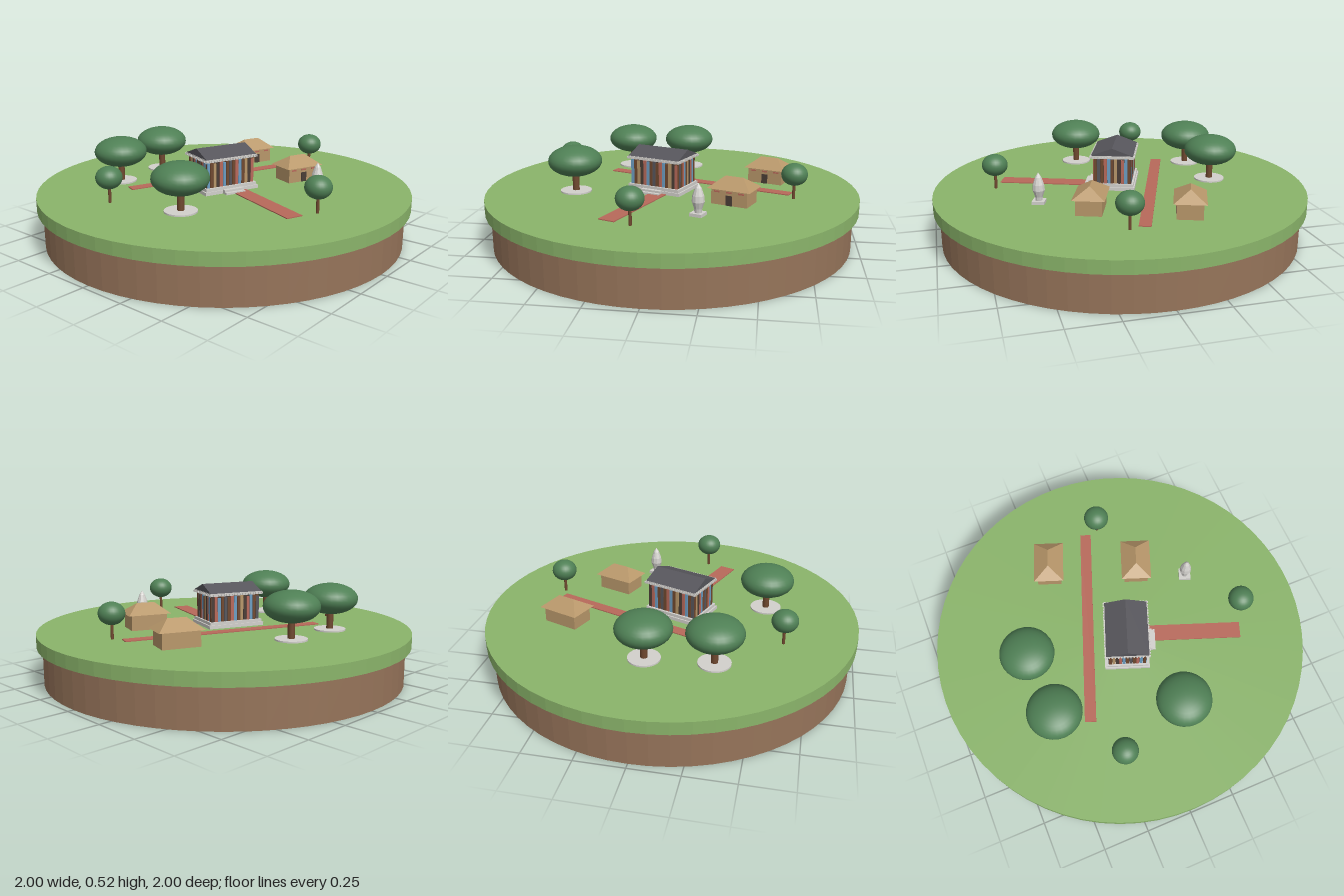
import * as THREE from 'three';
import { ConvexGeometry } from 'three/addons/geometries/ConvexGeometry.js';

const GROUND = 0.267;
const TURN = -0.35; // the streets and buildings share one heading

const palette = {
  earth: 0x96745a, grass: 0x8ab46a, brick: 0xb8695a, foliage: 0x4f8055, bark: 0x70482f,
  sandstone: 0xb8976a, stone: 0xd2d0cc, slate: 0x57565c, blue: 0x6c9dc2, shadowBrown: 0x4a3d36,
};
const mats = {};

function mesh(name, geometry, color, x = 0, y = 0, z = 0) {
  const m = new THREE.Mesh(geometry, mats[color]);
  m.name = name;
  m.position.set(x, y, z);
  return m;
}

const box = (name, color, w, h, d, x, bottom, z) =>
  mesh(name, new THREE.BoxGeometry(w, h, d), color, x, bottom + h / 2, z);

const cylinder = (name, color, r, h, sides, bottom) =>
  mesh(name, new THREE.CylinderGeometry(r, r, h, sides), color, 0, bottom + h / 2, 0);

function faceted(geometry) {
  const g = geometry.toNonIndexed();
  g.computeVertexNormals();
  return g;
}

function place(name, x, z, turn = TURN) {
  const g = new THREE.Group();
  g.name = name;
  g.position.set(x, GROUND, z);
  g.rotation.y = turn;
  return g;
}

// Round island: an earth drum under a wider slab of turf
function island() {
  const g = new THREE.Group();
  g.name = 'island';
  const earth = cylinder('earth', 'earth', 0.97, 0.2, 64, 0);
  const turf = cylinder('turf', 'grass', 1, GROUND - 0.2, 64, 0.2);
  for (const part of [earth, turf]) part.geometry = faceted(part.geometry);
  g.add(earth, turf);
  return g;
}

function tree(x, z, big) {
  const g = place(big ? 'largeTree' : 'smallTree', x, z, 0);
  const [r, ry, cy, trunk] = big ? [0.143, 0.081, 0.168, 0.018] : [0.068, 0.058, 0.13, 0.008];
  if (big) g.add(cylinder('treeRing', 'stone', 0.083, 0.008, 32, 0));
  g.add(cylinder('trunk', 'bark', trunk, cy, 10, 0));
  const crown = mesh('crown', new THREE.SphereGeometry(r, 28, 18), 'foliage', 0, cy, 0);
  crown.scale.y = ry / r;
  g.add(crown);
  return g;
}

// Small hip-roofed house with a central door and brick lintels
function house(x, z) {
  const g = place('house', x, z);
  const w = 0.195, d = 0.13, wall = 0.082;
  g.add(box('walls', 'sandstone', w, wall, d, 0, 0, 0));
  const points = [];
  for (const sx of [-1, 1]) {
    for (const sz of [-1, 1]) points.push(new THREE.Vector3(sx * 0.116, 0, sz * 0.081));
    points.push(new THREE.Vector3(sx * 0.048, 0.055, 0));
  }
  g.add(mesh('hipRoof', new ConvexGeometry(points), 'sandstone', 0, wall, 0));
  g.add(box('door', 'shadowBrown', 0.034, 0.052, 0.006, 0, 0, d / 2));
  for (const sx of [-0.066, 0, 0.066]) {
    g.add(box('lintel', 'brick', 0.03, 0.008, 0.006, sx, 0.064, d / 2));
  }
  return g;
}

// One wall of upright book spines, facing local +z
function bookWall(name, length, distance, turn, offset) {
  const g = new THREE.Group();
  g.name = name;
  g.rotation.y = turn;
  const colors = ['blue', 'bark', 'sandstone', 'shadowBrown', 'brick', 'blue', 'bark', 'slate', 'bark', 'brick'];
  const count = Math.round(length / 0.019);
  const pitch = length / count;
  for (let i = 0; i < count; i++) {
    const k = i + offset;
    const height = 0.138 - 0.005 * ((k * 7) % 3);
    g.add(box('bookSpine', colors[k % colors.length], pitch * 0.86, height, 0.016,
      -length / 2 + pitch * (i + 0.5), 0.034, distance - 0.008));
  }
  return g;
}

// Classical hall with walls of books
function hall() {
  const g = place('hall', -0.046, 0.018);
  g.add(box('lowerPlinth', 'stone', 0.32, 0.018, 0.24, 0, 0, 0));
  g.add(box('upperPlinth', 'stone', 0.304, 0.016, 0.226, 0, 0.018, 0));
  g.add(box('innerWalls', 'shadowBrown', 0.262, 0.14, 0.182, 0, 0.034, 0));
  g.add(bookWall('frontBooks', 0.284, 0.102, 0, 0));
  g.add(bookWall('backBooks', 0.284, 0.102, Math.PI, 3));
  g.add(bookWall('leftBooks', 0.2, 0.142, Math.PI / 2, 6));
  g.add(bookWall('rightBooks', 0.2, 0.142, -Math.PI / 2, 1));
  g.add(box('cornice', 'stone', 0.304, 0.016, 0.228, 0, 0.172, 0));

  // Dentils around the cornice
  for (const s of [-1, 1]) {
    for (let i = 0; i < 20; i++) {
      g.add(box('dentil', 'stone', 0.007, 0.009, 0.008, -0.15 + i * 0.3 / 19, 0.174, s * 0.116));
    }
    for (let i = 0; i < 15; i++) {
      g.add(box('dentil', 'stone', 0.008, 0.009, 0.007, s * 0.154, 0.174, -0.112 + i * 0.224 / 14));
    }
  }

  // Gable roof with its ridge along the length
  const gable = new THREE.Shape([
    new THREE.Vector2(-0.112, 0), new THREE.Vector2(0.112, 0), new THREE.Vector2(0, 0.041),
  ]);
  const roof = new THREE.ExtrudeGeometry(gable, { depth: 0.3, bevelEnabled: false });
  roof.translate(0, 0, -0.15).rotateY(Math.PI / 2);
  g.add(mesh('gableRoof', roof, 'slate', 0, 0.188, 0));

  // Entrance steps
  for (let i = 0; i < 2; i++) {
    g.add(box('step', 'stone', 0.115, 0.011 * (2 - i), 0.022, 0, 0, 0.129 + i * 0.018));
  }
  return g;
}

function statue() {
  const g = place('statue', 0.195, 0.475);
  g.add(box('pedestal', 'stone', 0.064, 0.016, 0.064, 0, 0, 0));
  const profile = [[0, 0.016], [0.018, 0.016], [0.02, 0.035], [0.032, 0.07], [0.029, 0.1], [0.016, 0.138], [0, 0.162]];
  const body = new THREE.LatheGeometry(profile.map(([r, y]) => new THREE.Vector2(r, y)), 10);
  g.add(mesh('figure', faceted(body), 'stone'));
  return g;
}

export function createModel() {
  for (const [name, color] of Object.entries(palette)) {
    mats[name] = new THREE.MeshStandardMaterial({ color });
    mats[name].name = name;
  }
  const model = new THREE.Group();
  model.name = 'parkIsland';
  model.add(island());

  // Brick paths
  const street = place('street', 0.125, -0.14);
  street.add(box('streetPaving', 'brick', 1.1, 0.005, 0.06, 0, 0, 0));
  const walk = place('frontWalk', -0.135, 0.375);
  walk.add(box('walkPaving', 'brick', 0.088, 0.005, 0.52, 0, 0, 0));
  model.add(street, walk);

  model.add(hall(), statue());
  for (const [x, z] of [[0.523, -0.215], [0.353, 0.24]]) model.add(house(x, z));
  for (const [x, z] of [[-0.5, 0.145], [-0.31, -0.485], [0.033, -0.508]]) model.add(tree(x, z, true));
  for (const [x, z] of [[-0.622, -0.228], [-0.098, 0.665], [0.655, 0.125]]) model.add(tree(x, z, false));
  return model;
}
